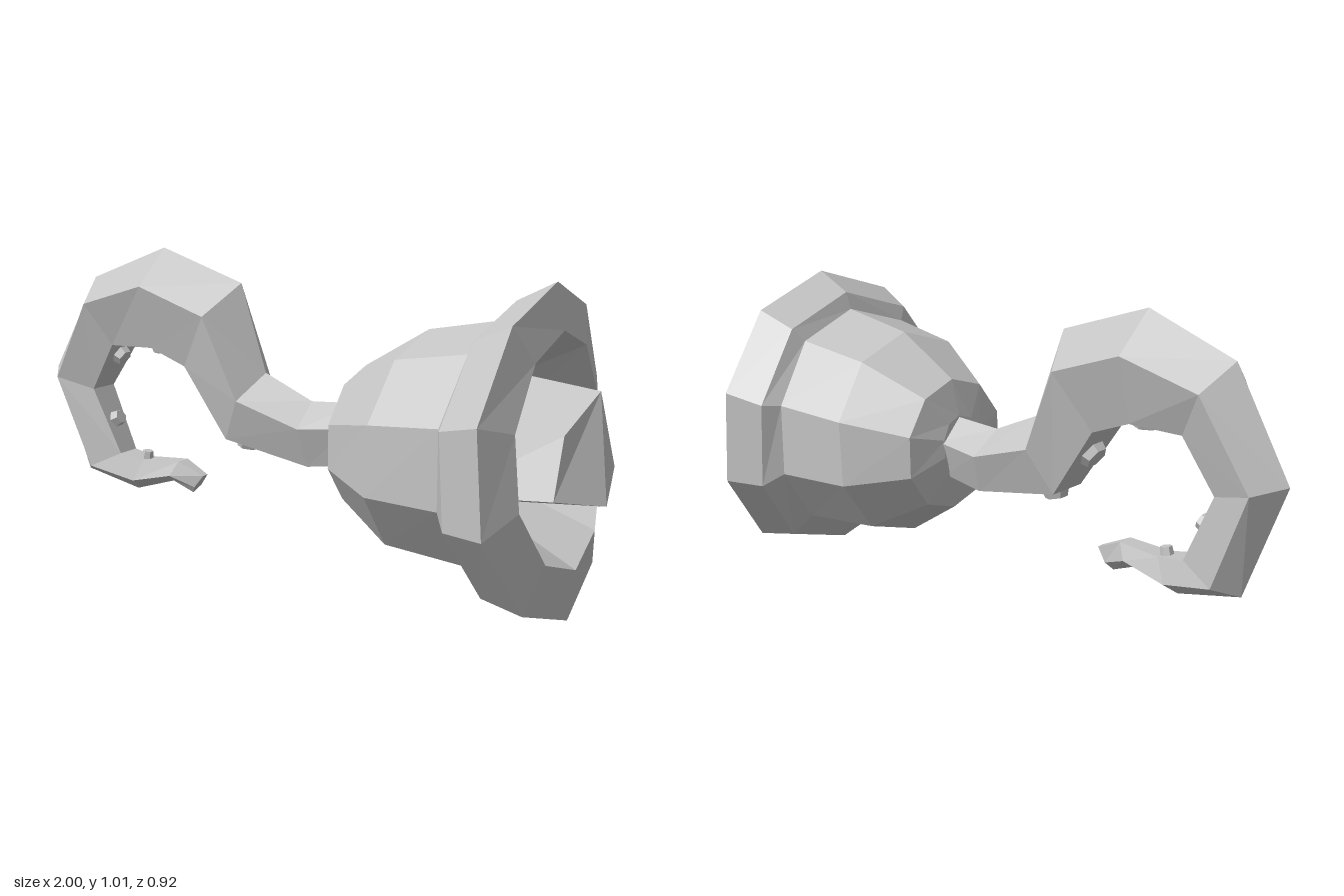
import * as THREE from 'three';

const grey = new THREE.MeshStandardMaterial({ color: 0xc4c4c4, flatShading: true, side: THREE.DoubleSide });
grey.name = 'stone grey';

// Skin a list of equally sized rings and close both ends
function loft(name, rings) {
  const pos = [];
  const tri = (...pts) => pts.forEach((p) => pos.push(p.x, p.y, p.z));
  const n = rings[0].length;
  for (let i = 0; i < rings.length - 1; i++) {
    for (let j = 0; j < n; j++) {
      const k = (j + 1) % n;
      const a = rings[i][j], b = rings[i][k], c = rings[i + 1][k], d = rings[i + 1][j];
      tri(a, b, d);
      tri(b, c, d);
    }
  }
  const first = rings[0], last = rings[rings.length - 1];
  for (let j = 1; j < n - 1; j++) {
    tri(first[0], first[j + 1], first[j]);
    tri(last[0], last[j], last[j + 1]);
  }
  const g = new THREE.BufferGeometry();
  g.setAttribute('position', new THREE.Float32BufferAttribute(pos, 3));
  g.computeVertexNormals();
  const mesh = new THREE.Mesh(g, grey);
  mesh.name = name;
  return mesh;
}

// Ring through a top and a bottom point; bend pulls its sides back along x
function bellRing([tx, ty, bx, by, rz, bend]) {
  return Array.from({ length: 10 }, (_, i) => {
    const a = (i / 10) * Math.PI * 2, c = Math.cos(a), s = Math.sin(a);
    return new THREE.Vector3(
      (tx + bx) / 2 + (c * (tx - bx)) / 2 - bend * s * s,
      (ty + by) / 2 + (c * (ty - by)) / 2,
      s * rz
    );
  });
}

// Five-sided section: ridge on the outside of the curl, flat on the inside
function armRing([ox, oy, ix, iy, w]) {
  const at = (t, z) => new THREE.Vector3(ox + (ix - ox) * t, oy + (iy - oy) * t, z);
  return [at(0, 0), at(0.36, w), at(1, w * 0.6), at(1, -w * 0.6), at(0.36, -w)];
}

export function createModel() {
  const model = new THREE.Group();
  model.name = 'tentacleBell';

  // Bell: outer wall, flared rim, then the hollow inside
  model.add(loft('bell', [
    [0.19, 0.575, 0.18, 0.39, 0.09, 0.01],
    [0.22, 0.69, 0.215, 0.26, 0.22, 0.01],
    [0.43, 0.815, 0.40, 0.14, 0.345, 0.02],
    [0.68, 0.86, 0.68, 0.115, 0.38, 0.05],
    [0.70, 0.915, 0.75, 0.03, 0.44, 0.06],
    [0.82, 0.975, 0.885, 0.0, 0.483, 0.06],
    [0.845, 0.84, 0.905, 0.155, 0.342, 0.03],
    [0.60, 0.70, 0.64, 0.295, 0.247, 0],
  ].map(bellRing)));

  // Clapper: faceted lump filling the mouth
  const end = [
    [0.94, 0.67, -0.05], [0.91, 0.575, 0.15], [0.91, 0.405, 0.215],
    [1.0, 0.365, 0.04], [0.95, 0.43, -0.17], [0.90, 0.585, -0.2],
  ].map((p) => new THREE.Vector3(...p));
  const root = end.map((p) => new THREE.Vector3(0.58, 0.5 + (p.y - 0.5) * 1.25, p.z * 1.05));
  model.add(loft('clapper', [root, end]));

  // Curled arm, tip to bell: outer x, y, inner x, y, half width
  const arm = [
    [-0.43, 0.205, -0.38, 0.27, 0.02],
    [-0.51, 0.235, -0.47, 0.31, 0.045],
    [-0.66, 0.19, -0.61, 0.30, 0.055],
    [-0.87, 0.235, -0.70, 0.315, 0.07],
    [-1.0, 0.585, -0.80, 0.53, 0.09],
    [-0.82, 0.905, -0.70, 0.69, 0.12],
    [-0.53, 1.015, -0.53, 0.695, 0.14],
    [-0.23, 0.915, -0.40, 0.645, 0.135],
    [-0.14, 0.635, -0.25, 0.42, 0.115],
    [0.03, 0.56, 0.05, 0.365, 0.105],
    [0.20, 0.57, 0.20, 0.385, 0.088],
  ];
  model.add(loft('curledArm', arm.map(armRing)));

  // Suckers along the inside of the curl: arm segment, position on it, radius
  const suckers = new THREE.Group();
  suckers.name = 'suckers';
  [[2, 0.1, 0.025], [3, 0.5, 0.035], [4, 0.75, 0.04], [5, 0.97, 0.055], [7, 0.4, 0.055], [8, 0.15, 0.05]]
    .forEach(([i, t, r]) => {
      const a = new THREE.Vector3(arm[i][2], arm[i][3], 0);
      const b = new THREE.Vector3(arm[i + 1][2], arm[i + 1][3], 0);
      const dir = b.clone().sub(a).normalize();
      const inward = new THREE.Vector3(dir.y, -dir.x, 0);
      const sucker = new THREE.Mesh(new THREE.CylinderGeometry(r * 0.7, r, 0.05, 6), grey);
      sucker.name = 'sucker';
      sucker.position.lerpVectors(a, b, t);
      sucker.quaternion.setFromUnitVectors(new THREE.Vector3(0, 1, 0), inward);
      suckers.add(sucker);
    });
  model.add(suckers);
  return model;
}
